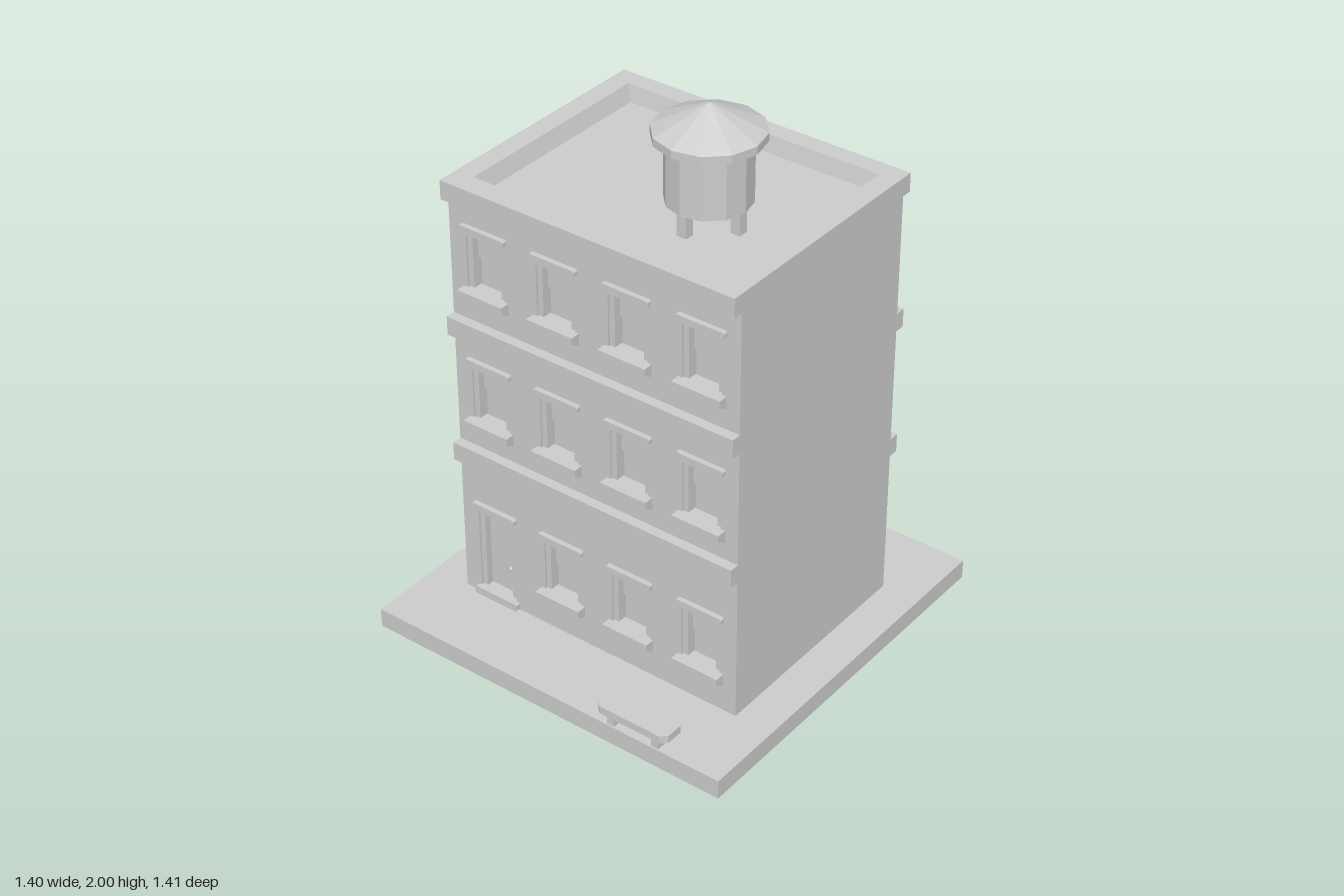
import * as THREE from 'three';

const stone = new THREE.MeshStandardMaterial({ color: 0xcccccc });
stone.name = 'pale grey';

const WALL_FRONT = 0.415, WALL_BACK = -0.425, HALF_W = 0.56, RECESS = 0.045;
const COLUMNS = [-0.42, -0.14, 0.14, 0.42];
const ROWS = [0.445, 1.01, 1.505]; // lintel tops

function add(parent, name, geometry, x = 0, y = 0, z = 0) {
  const mesh = new THREE.Mesh(geometry, stone);
  mesh.name = name;
  mesh.position.set(x, y, z);
  parent.add(mesh);
  return mesh;
}

// Box given by its extents
function block(parent, name, x0, x1, y0, y1, z0, z1) {
  return add(parent, name, new THREE.BoxGeometry(x1 - x0, y1 - y0, z1 - z0),
    (x0 + x1) / 2, (y0 + y1) / 2, (z0 + z1) / 2);
}

function flat(geometry) {
  const g = geometry.index ? geometry.toNonIndexed() : geometry;
  g.computeVertexNormals();
  return g;
}

// Rectangle with cut corners, extruded along z
function chamferedSlab(w, h, depth, c) {
  const a = w / 2, b = h / 2;
  const pts = [[-a + c, -b], [a - c, -b], [a, -b + c], [a, b - c], [a - c, b], [-a + c, b], [-a, b - c], [-a, -b + c]];
  const shape = new THREE.Shape(pts.map(p => new THREE.Vector2(...p)));
  return new THREE.ExtrudeGeometry(shape, { depth, bevelEnabled: false });
}

// Joins rectangular rings [halfWidth, zBack, zFront, y] into flat bands
function rectLoft(rings) {
  const corners = rings.map(([w, b, f, y]) => [[-w, y, f], [w, y, f], [w, y, b], [-w, y, b]]);
  const pos = [];
  for (let i = 0; i < corners.length - 1; i++) {
    for (let j = 0; j < 4; j++) {
      const k = (j + 1) % 4;
      const a = corners[i][j], b = corners[i][k], c = corners[i + 1][k], d = corners[i + 1][j];
      pos.push(...a, ...b, ...c, ...a, ...c, ...d);
    }
  }
  const g = new THREE.BufferGeometry();
  g.setAttribute('position', new THREE.Float32BufferAttribute(pos, 3));
  return flat(g);
}

function rectPath(x0, x1, y0, y1) {
  return [[x0, y0], [x1, y0], [x1, y1], [x0, y1]].map(p => new THREE.Vector2(...p));
}

// Sill with a sloping underside
function sillGeometry() {
  const shape = new THREE.Shape([[-0.04, 0.045], [-0.04, 0], [0, 0], [0.035, 0.022], [0.035, 0.045]]
    .map(p => new THREE.Vector2(...p)));
  return new THREE.ExtrudeGeometry(shape, { depth: 0.18, bevelEnabled: false })
    .rotateY(-Math.PI / 2).translate(0.09, 0, 0);
}

// Lintel and side jambs shared by windows and door
function surround(group, x, top, bottom) {
  add(group, 'lintel', chamferedSlab(0.18, 0.026, 0.06, 0.005), x, top - 0.013, WALL_FRONT - 0.042);
  for (const s of [-1, 1]) {
    const a = x + s * 0.075, b = x + s * 0.055;
    block(group, 'jamb', Math.min(a, b), Math.max(a, b), bottom, top - 0.025, WALL_FRONT - RECESS, WALL_FRONT - 0.008);
  }
}

function makeWindow(x, top) {
  const g = new THREE.Group();
  g.name = 'window';
  const bottom = top - 0.23, mid = top - 0.13, back = WALL_FRONT - RECESS;
  surround(g, x, top, bottom);
  add(g, 'sill', sillGeometry(), x, top - 0.275, WALL_FRONT);
  block(g, 'upperSash', x - 0.055, x + 0.055, mid, top - 0.025, back - 0.005, back + 0.012);
  return g;
}

function makeDoor(x, top) {
  const g = new THREE.Group();
  g.name = 'door';
  const back = WALL_FRONT - RECESS;
  surround(g, x, top, 0.1);
  block(g, 'doorLeaf', x - 0.055, x + 0.055, 0.1, top - 0.025, back - 0.005, back + 0.012);
  add(g, 'threshold', chamferedSlab(0.18, 0.028, 0.06, 0.004), x, 0.084, WALL_FRONT - 0.042);
  add(g, 'doorKnob', new THREE.SphereGeometry(0.009, 10, 8), x + 0.036, 0.2, back + 0.02);
  return g;
}

function makeTank() {
  const g = new THREE.Group();
  g.name = 'waterTank';
  g.position.set(0.18, 0, 0.065);
  const turn = -0.03;
  const drum = (name, rTop, rBottom, y0, y1) => {
    const geo = flat(new THREE.CylinderGeometry(rTop, rBottom, y1 - y0, 12));
    add(g, name, geo, 0, (y0 + y1) / 2, 0).rotation.y = turn;
  };
  drum('tankBody', 0.14, 0.14, 1.672, 1.89);
  drum('roofRim', 0.18, 0.18, 1.885, 1.913);
  const cone = flat(new THREE.ConeGeometry(0.18, 0.087, 12, 1, true));
  add(g, 'roofCone', cone, 0, 1.9565, 0).rotation.y = turn;
  // Short feet on the four axes
  for (let i = 0; i < 4; i++) {
    const a = i * Math.PI / 2 + turn;
    const leg = add(g, 'tankLeg', new THREE.BoxGeometry(0.035, 0.085, 0.035),
      Math.cos(a) * 0.115, 1.635, -Math.sin(a) * 0.115);
    leg.rotation.y = a;
  }
  return g;
}

function makeBench() {
  const g = new THREE.Group();
  g.name = 'bench';
  const seat = chamferedSlab(0.28, 0.1, 0.028, 0.02).rotateX(-Math.PI / 2);
  add(g, 'benchSeat', seat, 0.36, 0.114, 0.655);
  for (const x of [0.272, 0.448]) block(g, 'benchLeg', x - 0.014, x + 0.014, 0.07, 0.116, 0.627, 0.69);
  return g;
}

export function createModel() {
  const model = new THREE.Group();
  model.name = 'apartmentBlock';

  block(model, 'basePlate', -0.7, 0.7, 0, 0.07, -0.705, 0.695);

  // Main body, with a pierced front wall over it
  block(model, 'body', -HALF_W, HALF_W, 0.07, 1.595, WALL_BACK, WALL_FRONT - RECESS);
  const facade = new THREE.Shape(rectPath(-HALF_W, HALF_W, 0.07, 1.595));
  ROWS.forEach((top, r) => COLUMNS.forEach((x, c) => {
    const isDoor = r === 0 && c === 0;
    const bottom = isDoor ? 0.09 : top - 0.235;
    facade.holes.push(new THREE.Path(rectPath(x - 0.075, x + 0.075, bottom, top - 0.02)));
    model.add(isDoor ? makeDoor(x, top) : makeWindow(x, top));
  }));
  add(model, 'frontWall', new THREE.ExtrudeGeometry(facade, { depth: RECESS, bevelEnabled: false }),
    0, 0, WALL_FRONT - RECESS);

  // Storey bands on front and back
  for (const y of [0.605, 1.09]) {
    block(model, 'frontBand', -HALF_W, HALF_W, y, y + 0.067, WALL_FRONT - 0.01, 0.45);
    block(model, 'backBand', -HALF_W, HALF_W, y, y + 0.067, -0.462, WALL_BACK + 0.01);
  }

  // Cornice and parapet with a sloping inner face
  add(model, 'parapet', rectLoft([
    [0.47, -0.38, 0.355, 1.585],
    [HALF_W, -0.462, 0.45, 1.585],
    [HALF_W, -0.462, 0.45, 1.652],
    [0.49, -0.395, 0.372, 1.652],
    [0.47, -0.38, 0.355, 1.594],
  ]));

  model.add(makeTank(), makeBench());
  return model;
}
